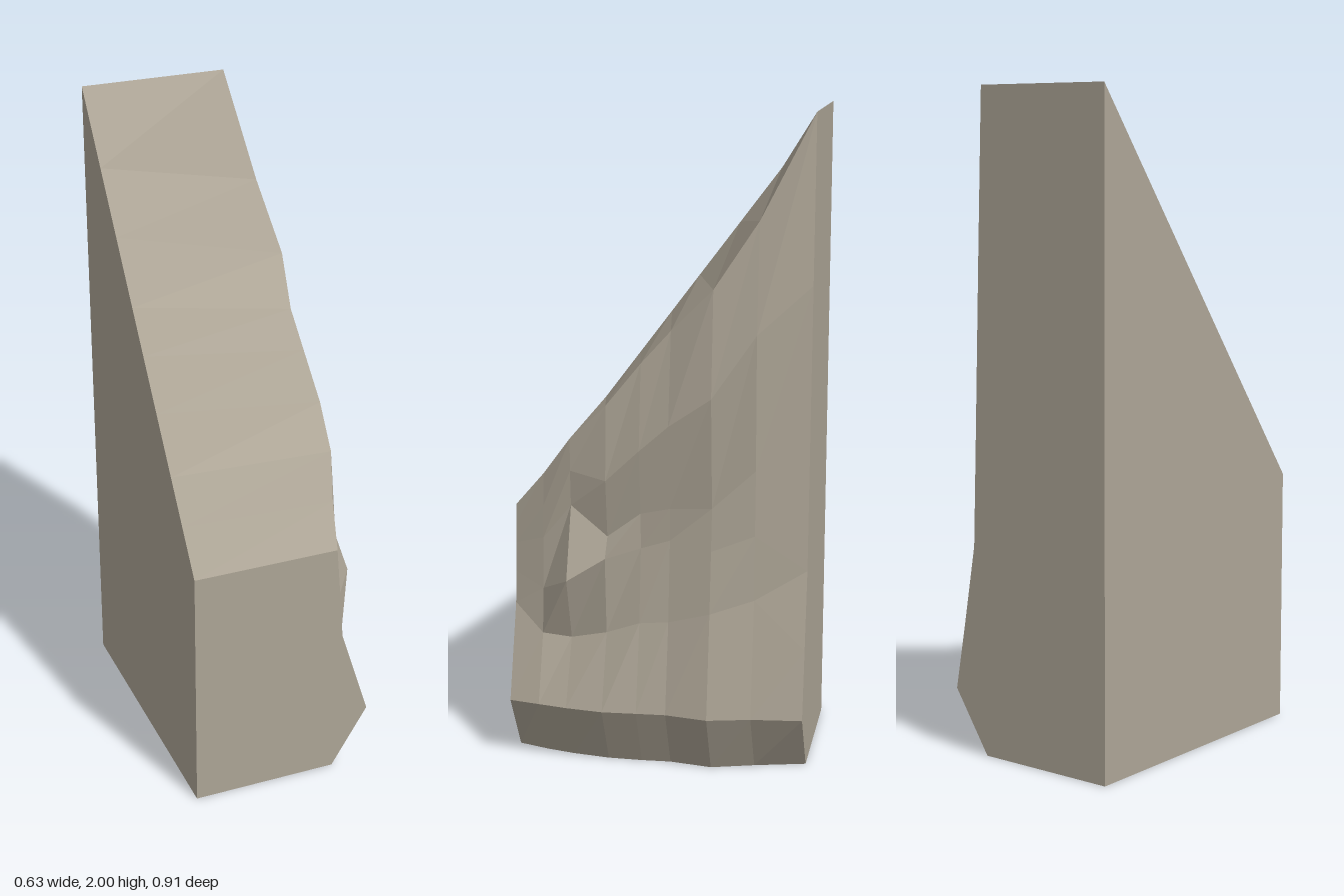
import * as THREE from 'three';

const LEFT = -0.315, FRONT = 0.455, BACK = -0.455;

// Vertical sections of the broken side, front to back: z, then [y, x] points upward
const sections = [
  [FRONT, [[0, 0.14], [0.19, 0.255], [0.48, 0.165], [0.58, 0.157], [0.67, 0.15], [0.73, 0.145], [0.79, 0.14]]],
  [0.36, [[0, 0.17], [0.19, 0.273], [0.4, 0.205], [0.54, 0.19], [0.7, 0.18], [0.8, 0.175], [0.9, 0.165]]],
  [0.27, [[0, 0.19], [0.19, 0.29], [0.39, 0.2], [0.59, 0.264], [0.81, 0.19], [0.92, 0.197], [1.02, 0.197]]],
  [0.155, [[0, 0.205], [0.19, 0.303], [0.42, 0.222], [0.66, 0.24], [0.72, 0.2], [0.9, 0.225], [1.13, 0.21]]],
  [0.05, [[0, 0.205], [0.19, 0.296], [0.46, 0.235], [0.69, 0.207], [0.8, 0.21], [1.0, 0.235], [1.26, 0.2]]],
  [-0.04, [[0, 0.2], [0.19, 0.291], [0.47, 0.238], [0.72, 0.21], [0.82, 0.212], [1.08, 0.24], [1.36, 0.195]]],
  [-0.17, [[0, 0.22], [0.19, 0.312], [0.51, 0.26], [0.7, 0.237], [0.83, 0.222], [1.17, 0.25], [1.49, 0.22]]],
  [-0.3, [[0, 0.18], [0.19, 0.28], [0.55, 0.225], [0.75, 0.22], [0.95, 0.215], [1.36, 0.225], [1.69, 0.187]]],
  [BACK, [[0, 0.14], [0.19, 0.262], [0.4, 0.225], [0.64, 0.185], [1.0, 0.173], [1.5, 0.157], [2, 0.14]]],
];

// Height of the sloping top along its straight left edge
const slopeY = (z) => 0.79 + (1.21 * (FRONT - z)) / (FRONT - BACK);

// Flat-faced surface joining neighbouring rows of points
function surface(name, rows, material) {
  const positions = [], index = [];
  const n = rows[0].length;
  rows.forEach((row) => row.forEach((p) => positions.push(...p)));
  for (let i = 0; i < rows.length - 1; i++) {
    for (let j = 0; j < n - 1; j++) {
      const a = i * n + j, b = a + n;
      index.push(a, b, b + 1, a, b + 1, a + 1);
    }
  }
  const indexed = new THREE.BufferGeometry();
  indexed.setAttribute('position', new THREE.Float32BufferAttribute(positions, 3));
  indexed.setIndex(index);
  const geometry = indexed.toNonIndexed();
  geometry.computeVertexNormals();
  const mesh = new THREE.Mesh(geometry, material);
  mesh.name = name;
  return mesh;
}

export function createModel() {
  const group = new THREE.Group();
  group.name = 'rockSlab';
  const stone = new THREE.MeshStandardMaterial({ color: 0xada596, side: THREE.DoubleSide });
  stone.name = 'stone';

  const columns = sections.map(([z, points]) => points.map(([y, x]) => [x, y, z]));
  const toLeft = (column) => column.map(([, y, z]) => [LEFT, y, z]);
  const front = columns[0], back = columns[columns.length - 1];
  const rim = columns.map((c) => c[c.length - 1]);
  const straightEdge = rim.map(([, , z]) => [LEFT, slopeY(z), z]);

  // The underside is open
  group.add(
    surface('brokenSide', columns, stone),
    surface('frontFace', [toLeft(front), front], stone),
    surface('backFace', [back, toLeft(back)], stone),
    surface('slopingTop', [straightEdge, rim], stone),
    surface('flatSide', [
      [[LEFT, 0, BACK], [LEFT, 2, BACK]],
      [[LEFT, 0, FRONT], [LEFT, 0.79, FRONT]],
    ], stone),
  );
  return group;
}
